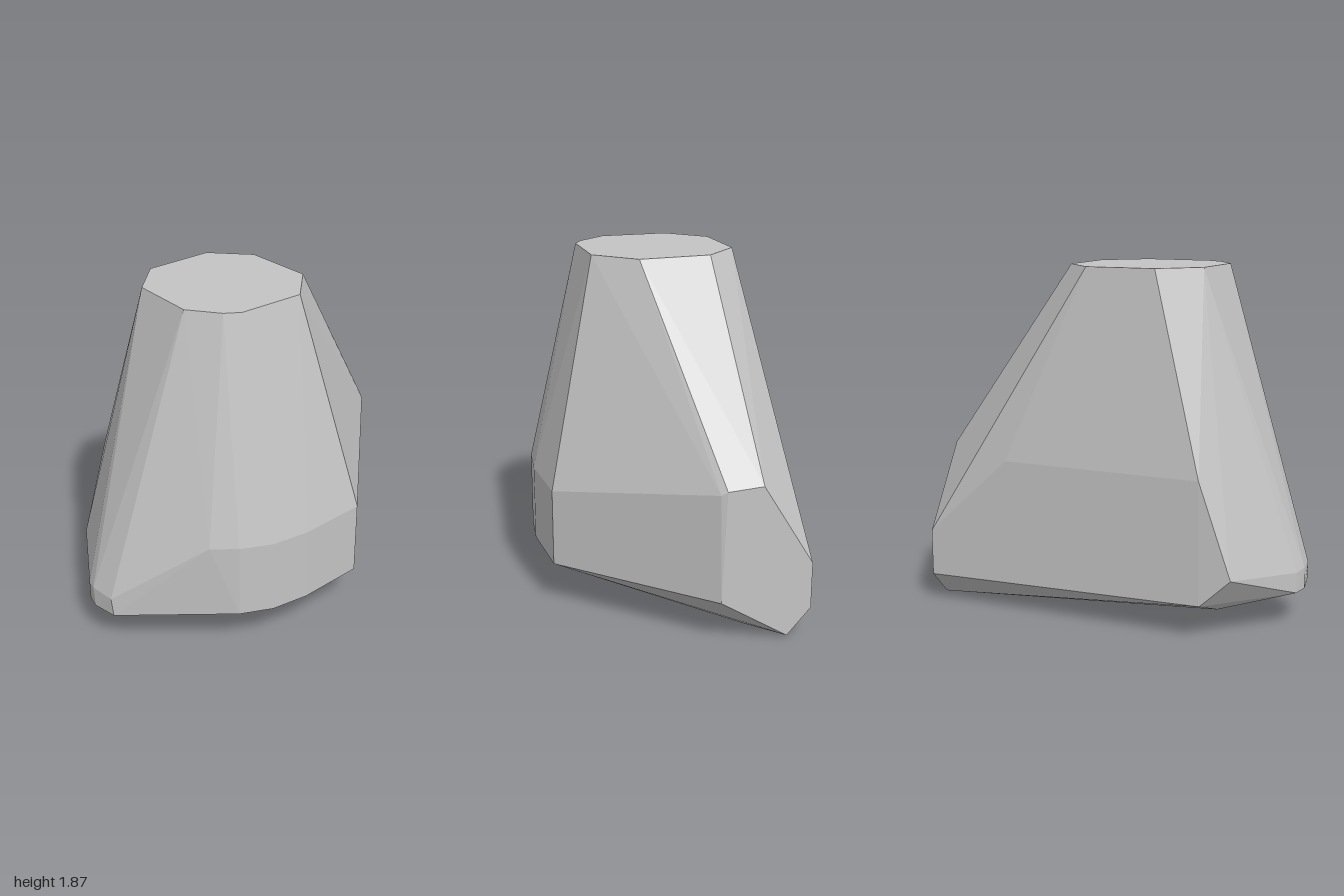
import * as THREE from 'three';
import { ConvexGeometry } from 'three/addons/geometries/ConvexGeometry.js';

// lift a flat outline of [x, z] pairs to one height
const ring = (y, outline) => outline.map(([x, z]) => new THREE.Vector3(x, y, z));
const corners = (list) => list.map(([x, y, z]) => new THREE.Vector3(x, y, z));

export function createModel() {
  const group = new THREE.Group();
  const stone = new THREE.MeshStandardMaterial({ color: 0xc4c4c4 });
  stone.name = 'stone grey';
  stone.flatShading = true;

  // flat eight-sided top
  const top = ring(1.87, [
    [-0.48, -0.09], [-0.29, -0.27], [0.1, -0.28], [0.3, -0.08], [0.29, 0.29],
    [0.24, 0.37], [0.08, 0.49], [-0.29, 0.48], [-0.48, 0.29],
  ]);

  // rounded left flank: the same outline at the shoulder and at the lower rim
  const flank = [[0.585, -0.28], [0.6, 0.1], [0.57, 0.31], [0.49, 0.48], [0.39, 0.6]];
  const shoulder = ring(0.66, flank);
  const rim = ring(0.24, flank.slice(0, 4));

  // upright wall on the right side
  const wall = corners([
    [-0.6, 0.15, -1], [-0.6, 0.4, -1], [-0.6, 0.84, -0.52],
    [-0.6, 0.84, 0.58], [-0.585, 0.34, 0.75], [-0.6, 0.19, 0.59],
  ]);

  // upright back face
  const back = corners([
    [-0.32, 0.85, -1], [-0.13, 0.84, -0.995], [-0.1, 0.82, -0.98],
    [-0.11, 0.24, -0.99], [-0.47, 0.01, -1],
  ]);

  // blunt front tip
  const tip = corners([
    [-0.13, 0.31, 1], [0.01, 0.3, 0.98], [-0.2, 0.3, 0.98],
    [-0.12, 0.195, 1], [0.02, 0.195, 0.975], [-0.2, 0.19, 0.98],
  ]);

  // sloping underside
  const underside = corners([[-0.3, 0, -0.78], [0.38, 0.13, 0.17], [-0.47, 0.14, 0.64]]);

  const body = new THREE.Mesh(
    new ConvexGeometry([...top, ...shoulder, ...rim, ...wall, ...back, ...tip, ...underside]),
    stone,
  );
  body.name = 'facetedBlock';
  group.add(body);
  return group;
}
